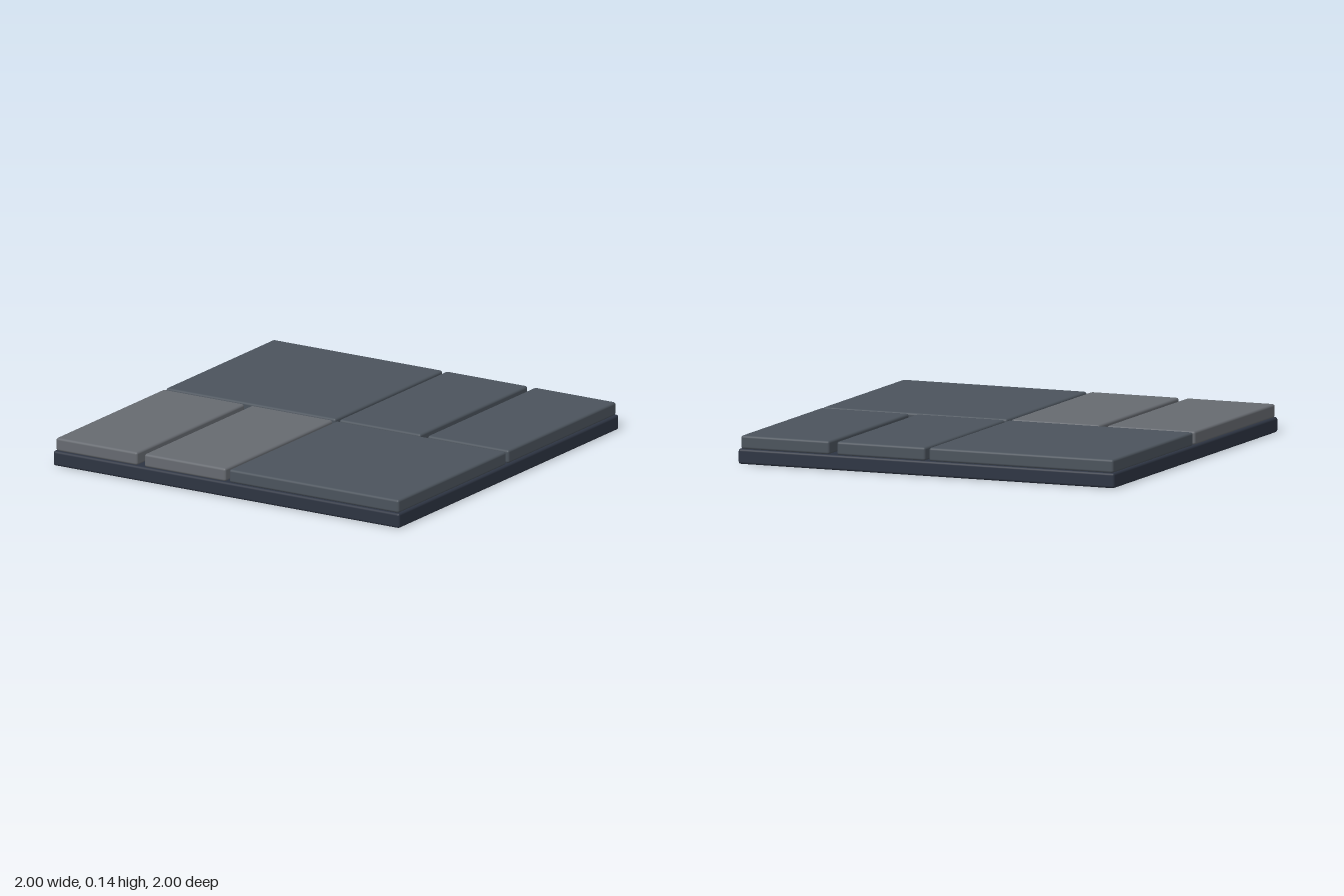
import * as THREE from 'three';
import { RoundedBoxGeometry } from 'three/addons/geometries/RoundedBoxGeometry.js';

const slate = new THREE.MeshStandardMaterial({ color: 0x4b535c });
const paleStone = new THREE.MeshStandardMaterial({ color: 0x666a70 });
const grout = new THREE.MeshStandardMaterial({ color: 0x2d3442 });

// Softly bevelled slab given by its x, y and z ranges
function slab(name, [x0, x1], [y0, y1], [z0, z1], material) {
  const geometry = new RoundedBoxGeometry(x1 - x0, y1 - y0, z1 - z0, 2, 0.012);
  const mesh = new THREE.Mesh(geometry, material);
  mesh.name = name;
  mesh.position.set((x0 + x1) / 2, (y0 + y1) / 2, (z0 + z1) / 2);
  return mesh;
}

export function createModel() {
  const group = new THREE.Group();
  group.name = 'floorPanel';

  // Base plate
  group.add(slab('base', [-1, 1], [0, 0.075], [-1, 1], grout));

  const height = [0.073, 0.14];
  const back = [-0.99, -0.01];
  const front = [0.01, 0.99];

  // Large square tiles on opposite quarters
  group.add(slab('largeTileBack', [-0.99, -0.01], height, back, slate));
  group.add(slab('largeTileFront', [0.01, 0.99], height, front, slate));

  // Pairs of narrow tiles on the other two quarters
  for (const [a, b] of [[0.01, 0.48], [0.52, 0.99]]) {
    group.add(slab('narrowTileBack', [a, b], height, back, slate));
    group.add(slab('narrowTileFront', [-b, -a], height, front, paleStone));
  }
  return group;
}
